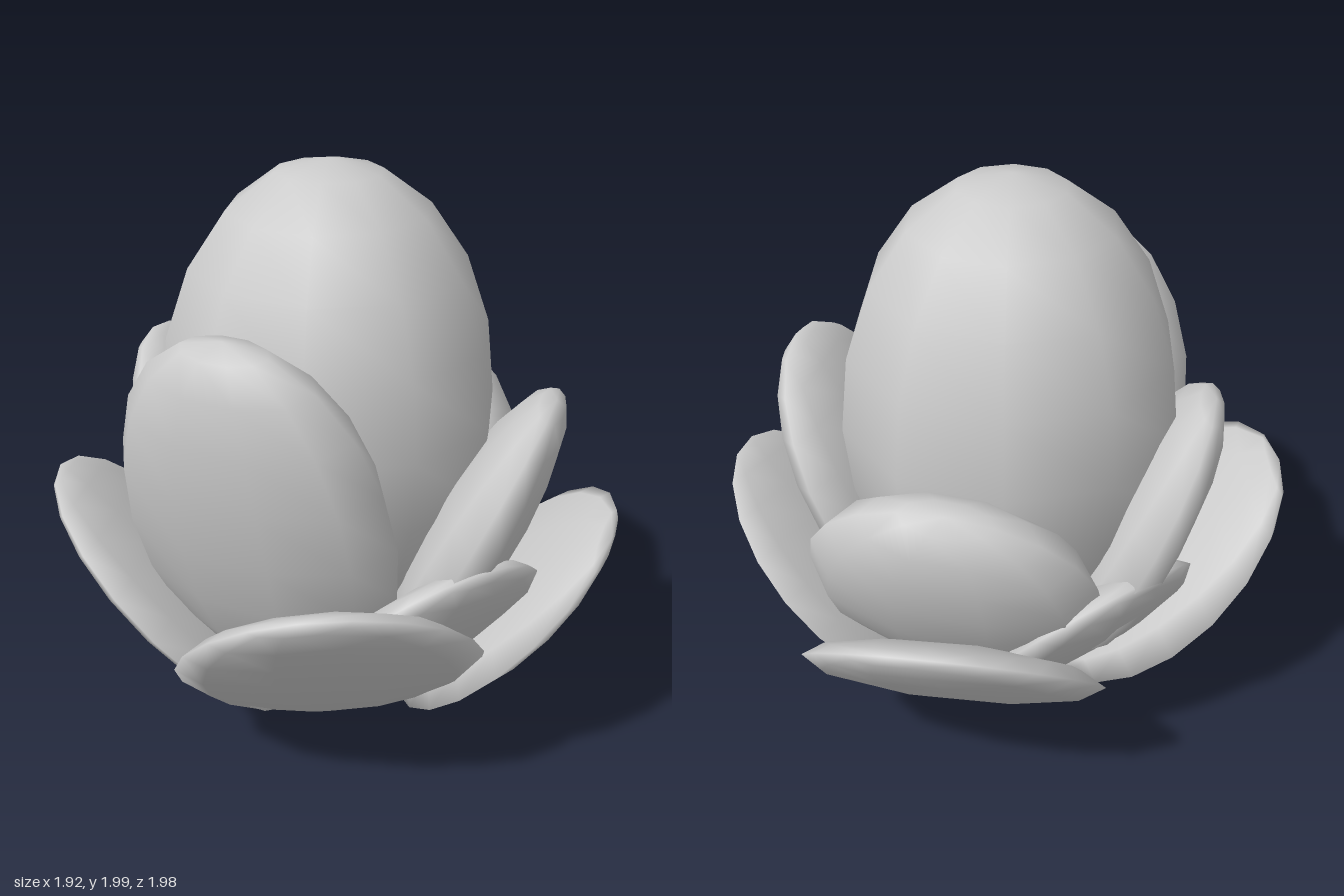
import * as THREE from 'three';

// Every part is the same coarse smooth ball, squashed into a bud or a petal
const ball = new THREE.SphereGeometry(1, 10, 10);
const material = new THREE.MeshStandardMaterial({ color: 0xcccccc });

function addBall(parent, name, position, scale) {
  const mesh = new THREE.Mesh(ball, material);
  mesh.name = name;
  mesh.position.set(...position);
  mesh.scale.set(...scale);
  parent.add(mesh);
  return mesh;
}

// azimuth: degrees from +x towards +z; lean: degrees outwards from upright
// roll: degrees turned within the petal's own plane
// size: half width, half length, half thickness
function addPetal(parent, name, { azimuth, lean, roll = 0, position, size }) {
  const petal = addBall(parent, name, position, size);
  const [x, y, z] = [lean, 90 - azimuth, roll].map(THREE.MathUtils.degToRad);
  petal.rotation.set(x, y, z, 'YXZ');
}

// Tall petals hugging the bud
const innerPetals = [
  { azimuth: 90, lean: 15, position: [-0.05, 0.95, 0.51], size: [0.49, 0.69, 0.235] },
  { azimuth: -10, lean: 26, position: [0.5, 0.8, 0.01], size: [0.475, 0.56, 0.15] },
  { azimuth: 167, lean: 24, position: [-0.52, 0.82, -0.01], size: [0.44, 0.55, 0.145] },
  { azimuth: 262, lean: 27, roll: -4, position: [-0.05, 0.78, -0.505], size: [0.49, 0.475, 0.21] },
];

// Short petals filling two of the gaps
const middlePetals = [
  { azimuth: 32, lean: 38, position: [0.43, 0.51, 0.25], size: [0.41, 0.455, 0.1] },
  { azimuth: 212, lean: 38, position: [-0.41, 0.51, -0.25], size: [0.41, 0.455, 0.1] },
];

// Wide open petals at the base
const outerPetals = [
  { azimuth: 58, lean: 43, roll: 12, position: [0.22, 0.47, 0.53], size: [0.5, 0.63, 0.1] },
  { azimuth: -18, lean: 43, roll: 20, position: [0.57, 0.47, -0.125], size: [0.5, 0.54, 0.09] },
  { azimuth: 148, lean: 43, roll: 12, position: [-0.51, 0.47, 0.3], size: [0.52, 0.6, 0.1] },
  { azimuth: 257, lean: 44, roll: 15, position: [-0.08, 0.475, -0.595], size: [0.5, 0.54, 0.09] },
];

export function createModel() {
  const flower = new THREE.Group();
  flower.name = 'flower';

  addBall(flower, 'bud', [-0.05, 1.16, 0], [0.58, 0.84, 0.565]);

  const rings = { innerPetal: innerPetals, middlePetal: middlePetals, outerPetal: outerPetals };
  for (const [name, petals] of Object.entries(rings)) {
    const ring = new THREE.Group();
    ring.name = name + 's';
    petals.forEach((petal, i) => addPetal(ring, name + (i + 1), petal));
    flower.add(ring);
  }
  return flower;
}
